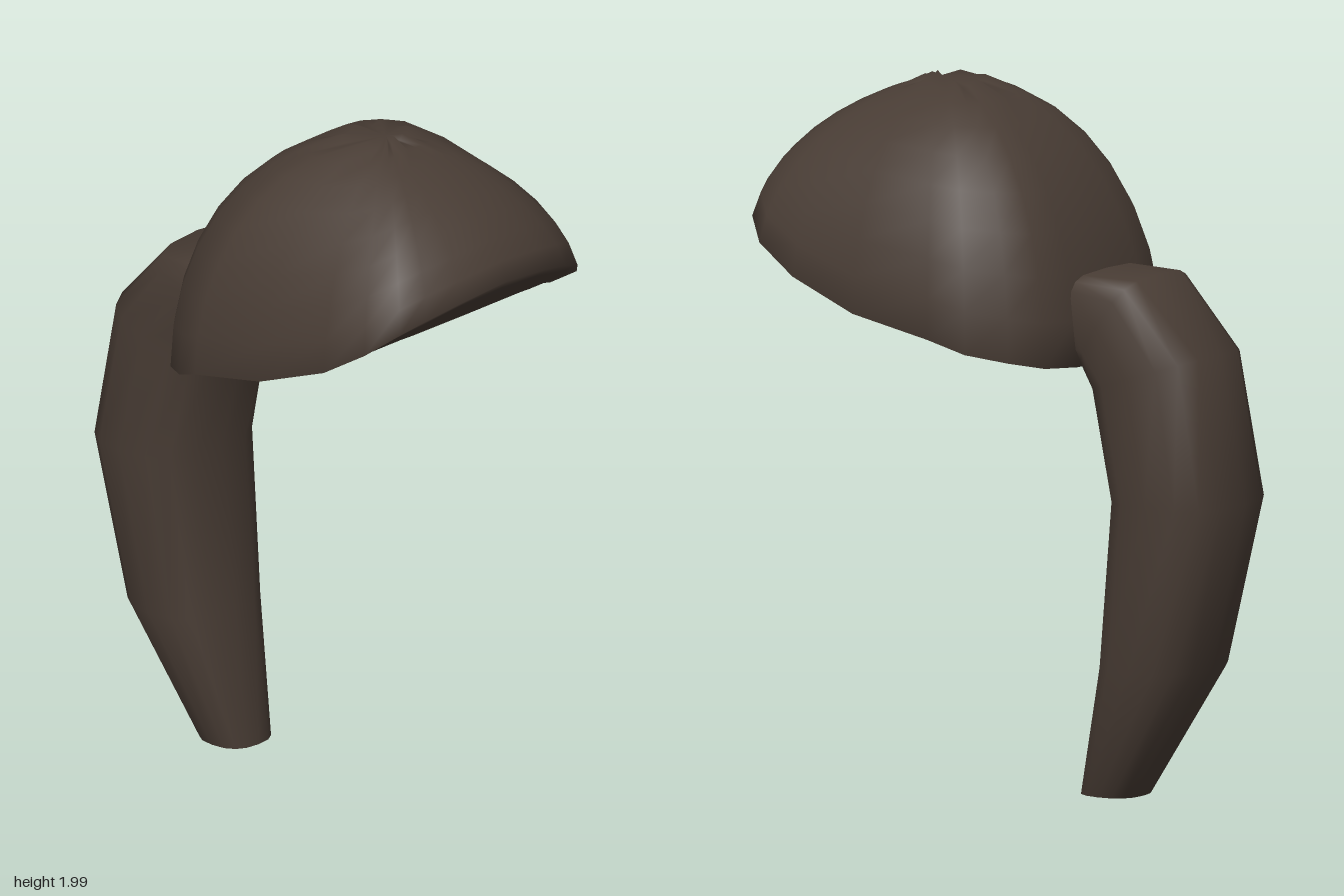
import * as THREE from 'three';
import { mergeVertices } from 'three/addons/utils/BufferGeometryUtils.js';

const V = (x, y, z) => new THREE.Vector3(x, y, z);

// Smooth skin through closed rings that all have the same number of points
function loft(rings) {
  const n = rings[0].length, pos = [], index = [];
  rings.forEach((ring) => ring.forEach((p) => pos.push(p.x, p.y, p.z)));
  for (let i = 0; i < rings.length - 1; i++) {
    for (let j = 0; j < n; j++) {
      const k = (j + 1) % n;
      const a = i * n + j, b = i * n + k, c = a + n, d = b + n;
      index.push(a, b, d, a, d, c);
    }
  }
  let g = new THREE.BufferGeometry();
  g.setAttribute('position', new THREE.Float32BufferAttribute(pos, 3));
  g.setIndex(index);
  g = mergeVertices(g, 1e-5);
  g.computeVertexNormals();
  return g;
}

export function createModel() {
  const group = new THREE.Group();
  const hair = new THREE.MeshStandardMaterial({ color: 0x483c34, side: THREE.DoubleSide });
  hair.name = 'dark brown hair';
  const add = (name, geometry) => {
    const mesh = new THREE.Mesh(geometry, hair);
    mesh.name = name;
    group.add(mesh);
  };

  // Hairline: left half from forehead to nape, then mirrored
  const half = [
    [0, 1.68, 0.745], [0.17, 1.66, 0.73], [0.28, 1.63, 0.70], [0.36, 1.6, 0.67],
    [0.43, 1.54, 0.6], [0.46, 1.46, 0.47], [0.49, 1.38, 0.25], [0.49, 1.33, 0],
    [0.45, 1.29, -0.1], [0.38, 1.265, -0.2], [0.3, 1.245, -0.27], [0.18, 1.235, -0.3],
    [0, 1.23, -0.31],
  ].map((p) => V(...p));
  const mirrored = half.slice(1, -1).reverse().map((p) => V(-p.x, p.y, p.z));
  const rim = [...half, ...mirrored];

  // Height of the hairline at a given depth
  const hairlineY = (z) => {
    const i = Math.max(1, half.findIndex((p) => p.z <= z));
    const a = half[i - 1], b = half[i];
    return THREE.MathUtils.mapLinear(z, a.z, b.z, a.y, b.y);
  };

  // Underside: follows the hairline in front, arches up at the nape
  const underside = [0, 0.2, 0.4, 0.6, 0.8, 0.95].map((s) => rim.map((p) => {
    const x = p.x * s, z = 0.1 + (p.z - 0.1) * s;
    const arch = 1.38 - 0.55 * Math.max(0, Math.abs(x) - 0.2);
    return V(x, Math.max(hairlineY(z) + 0.005, arch), z);
  }));

  // Rounded crown rising from the hairline, straighter over the forehead
  const apex = V(0, 1.985, 0.27);
  const steps = 9, crown = [];
  for (let i = 0; i <= steps; i++) {
    const a = (i / steps) * Math.PI / 2;
    crown.push(rim.map((p, j) => {
      if (i === steps) return apex.clone();
      const front = Math.max(0, p.z / 0.745) ** 2;
      const s = Math.pow(Math.cos(a), 0.92 + 0.38 * front) - 0.1 * front * Math.sin(2 * a);
      // slight tufts around the top
      const tuft = i === steps - 1 ? 0.012 * Math.cos(j * 2.1) : 0;
      return V(p.x * s, p.y + (apex.y - p.y) * Math.sin(a) + tuft, apex.z + (p.z - apex.z) * s);
    }));
  }
  add('hairCap', loft([...underside, ...crown]));

  // Ponytail: [inner z, inner y, outer z, outer y, half width, roundness], tip to root
  const sections = [
    [-0.22, 0, -0.405, 0, 0.095, 0.8],
    [-0.31, 0.38, -0.635, 0.38, 0.185, 0.8],
    [-0.36, 0.86, -0.745, 0.86, 0.22, 0.8],
    [-0.295, 1.16, -0.665, 1.28, 0.205, 0.75],
    [-0.28, 1.22, -0.46, 1.49, 0.195, 0.6],
    [-0.275, 1.25, -0.28, 1.49, 0.185, 0.45],
  ];
  const sides = 16;
  const tail = sections.map(([zi, yi, zo, yo, w, e]) => {
    const round = (v) => Math.sign(v) * Math.pow(Math.abs(v), e);
    return Array.from({ length: sides }, (_, j) => {
      const u = (j / sides) * Math.PI * 2;
      const t = (1 - round(Math.cos(u))) / 2;
      return V(w * round(Math.sin(u)), yi + (yo - yi) * t, zi + (zo - zi) * t);
    });
  });
  const tip = tail[0].map(() => V(0, 0, -0.31));
  add('ponytail', loft([tip, ...tail]));

  return group;
}
